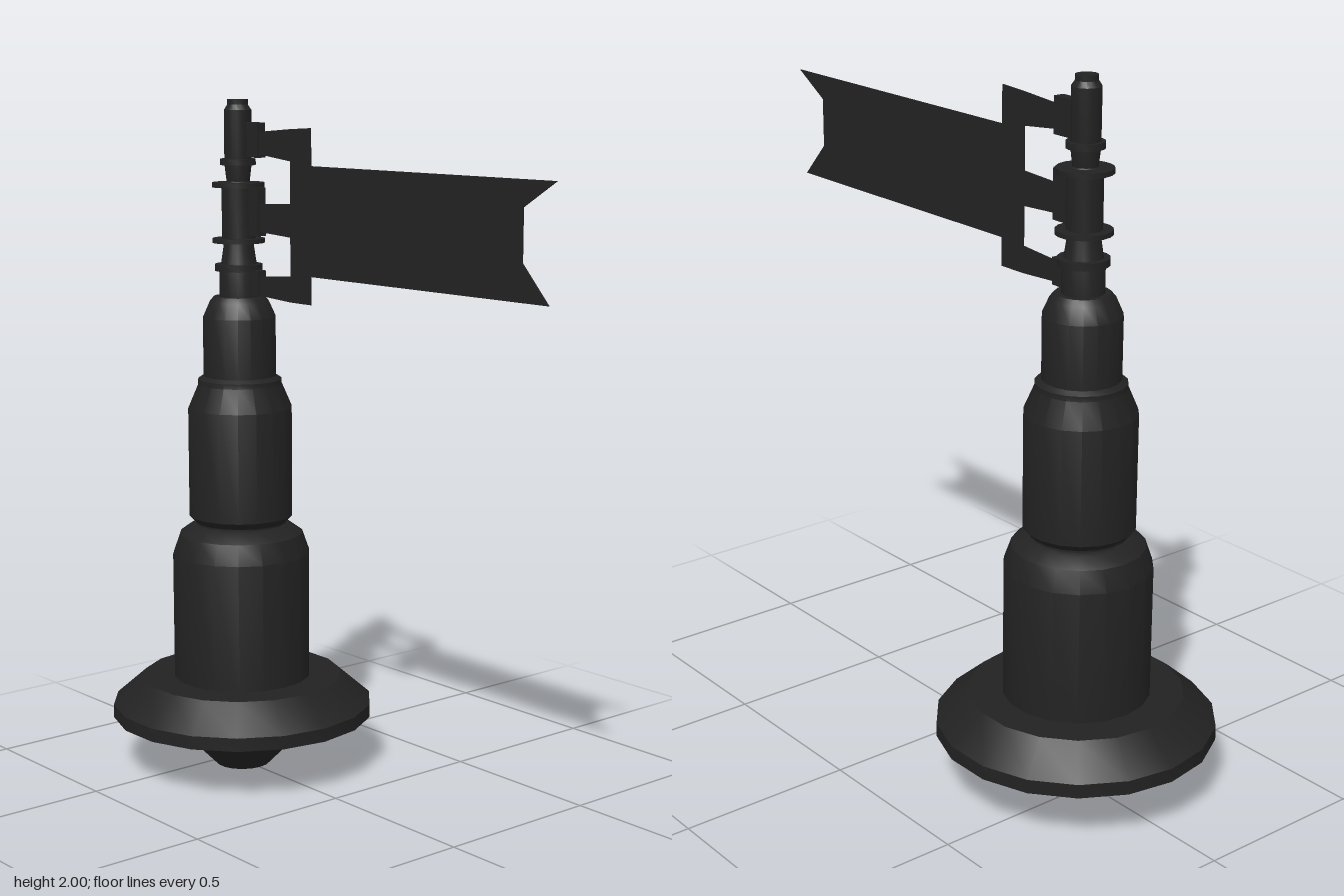
import * as THREE from 'three';
import { toCreasedNormals } from 'three/addons/utils/BufferGeometryUtils.js';

const AXIS_X = -0.44;
const SIDES = 18;

export function createModel() {
  const model = new THREE.Group();
  const material = new THREE.MeshStandardMaterial({ color: 0x222222 });

  const add = (name, geometry, x = 0, y = 0, z = 0) => {
    const mesh = new THREE.Mesh(geometry, material);
    mesh.name = name;
    mesh.position.set(x, y, z);
    model.add(mesh);
  };

  // Turned parts share one axis; profiles are [radius, height], bottom to top.
  const turned = (name, profile) => {
    const points = profile.map(([r, y]) => new THREE.Vector2(r, y));
    const lathe = new THREE.LatheGeometry(points, SIDES, Math.PI / 2);
    add(name, toCreasedNormals(lathe, 0.42), AXIS_X);
  };

  // Cone foot and wide flared rim
  turned('baseFlange', [
    [0, 0], [0.082, 0], [0.2, 0.12], [0.392, 0.16], [0.392, 0.2], [0.3, 0.28], [0, 0.28],
  ]);

  // Three stepped column stages
  turned('lowerColumn', [
    [0.206, 0.27], [0.206, 0.66], [0.185, 0.72], [0.15, 0.745], [0.135, 0.75], [0, 0.75],
  ]);
  turned('middleColumn', [
    [0.135, 0.74], [0.135, 0.755], [0.155, 0.775], [0.155, 1.1], [0.125, 1.17],
    [0.125, 1.185], [0.11, 1.195], [0, 1.195],
  ]);
  turned('upperColumn', [
    [0.108, 1.18], [0.108, 1.37], [0.088, 1.415], [0.075, 1.43], [0, 1.43],
  ]);

  // Slim mast with collars
  turned('mast', [
    [0.058, 1.42], [0.058, 1.5], [0.052, 1.53], [0.043, 1.59], [0.049, 1.6], [0.049, 1.75],
    [0.034, 1.765], [0.04, 1.815], [0.04, 1.97], [0.03, 1.985], [0.03, 2], [0, 2],
  ]);
  const collars = [[0.07, 1.505, 1.525], [0.077, 1.587, 1.6], [0.077, 1.748, 1.762], [0.052, 1.812, 1.83]];
  for (const [r, low, high] of collars) {
    turned('mastCollar', [[0, low], [r, low], [r, high], [0, high]]);
  }

  // Lugs joining the bracket arms to the mast
  for (const [low, high] of [[1.435, 1.51], [1.61, 1.75], [1.835, 1.935]]) {
    add('bracketLug', new THREE.BoxGeometry(0.07, high - low, 0.03), -0.385, (low + high) / 2, -0.015);
  }

  // Thin swallow-tailed vane with its three-armed bracket in one outline
  const outline = [
    [-0.4, 1.44], [-0.21, 1.43], [-0.12, 1.43], [-0.12, 1.51],
    [0.81, 1.51], [0.715, 1.61], [0.715, 1.75], [0.83, 1.82],
    [-0.12, 1.82], [-0.12, 1.925], [-0.21, 1.92], [-0.4, 1.905],
    [-0.4, 1.85], [-0.21, 1.83], [-0.21, 1.71], [-0.4, 1.7],
    [-0.4, 1.625], [-0.21, 1.615], [-0.21, 1.505], [-0.4, 1.49],
  ];
  const shape = new THREE.Shape(outline.map(([x, y]) => new THREE.Vector2(x, y)));
  add('vane', new THREE.ExtrudeGeometry(shape, { depth: 0.004, bevelEnabled: false }), 0, 0, -0.012);

  return model;
}
